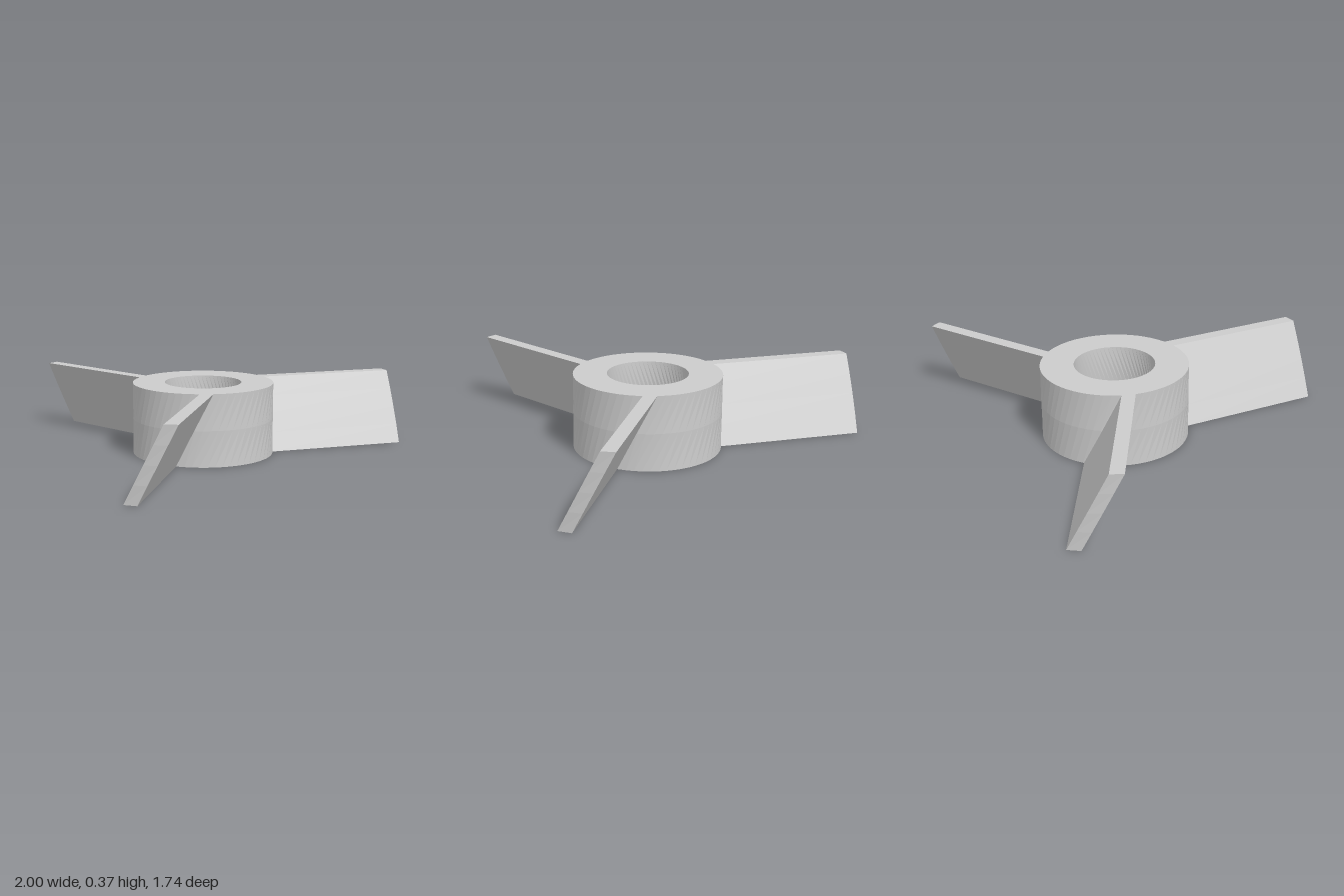
import * as THREE from 'three';

const H = 0.37;            // overall height
const HUB_R = 0.366, BORE_R = 0.2;
const TIP_R = 1.092;       // blade ends lie on this cylinder
const LEAN = 0.185;        // sideways travel of a blade from bottom to top
const THICK = 0.065;

// Ring with square edges whose facets spiral up with the blades
function hubGeometry() {
  const steps = 2, profile = [];
  for (let i = 0; i <= steps; i++) profile.push(new THREE.Vector2(HUB_R, (H * i) / steps));
  for (let i = steps; i >= 0; i--) profile.push(new THREE.Vector2(BORE_R, (H * i) / steps));
  profile.push(new THREE.Vector2(HUB_R, 0));
  const geo = new THREE.LatheGeometry(profile, 60);
  const p = geo.attributes.position;
  const v = new THREE.Vector3(), up = new THREE.Vector3(0, 1, 0);
  for (let i = 0; i < p.count; i++) {
    v.fromBufferAttribute(p, i);
    v.applyAxisAngle(up, (v.y / H - 0.5) * 0.51);
    p.setXYZ(i, v.x, v.y, v.z);
  }
  const flat = geo.toNonIndexed();
  flat.computeVertexNormals();
  return flat;
}

// Pitched slab running out along +z, trimmed by cylinders at root and tip
function bladeGeometry() {
  const geo = new THREE.BoxGeometry(THICK, H, 1, 1, 4, 1);
  const p = geo.attributes.position;
  for (let i = 0; i < p.count; i++) {
    const y = p.getY(i);
    const x = p.getX(i) + (LEAN * y) / H;
    const r = p.getZ(i) > 0 ? TIP_R : HUB_R - 0.012;
    p.setXYZ(i, x, y + H / 2, Math.sqrt(r * r - x * x));
  }
  const flat = geo.toNonIndexed();
  flat.computeVertexNormals();
  return flat;
}

export function createModel() {
  const model = new THREE.Group();
  model.name = 'propeller';
  const material = new THREE.MeshStandardMaterial({ color: 0xcccccc, flatShading: true });

  const rotor = new THREE.Group();
  rotor.name = 'rotor';
  rotor.position.z = -0.224;
  model.add(rotor);

  const hub = new THREE.Mesh(hubGeometry(), material);
  hub.name = 'hub';
  rotor.add(hub);

  // Three evenly spaced blades
  const blade = bladeGeometry();
  ['frontBlade', 'leftBlade', 'rightBlade'].forEach((name, i) => {
    const mesh = new THREE.Mesh(blade, material);
    mesh.name = name;
    mesh.rotation.y = (i * Math.PI * 2) / 3;
    rotor.add(mesh);
  });
  return model;
}
